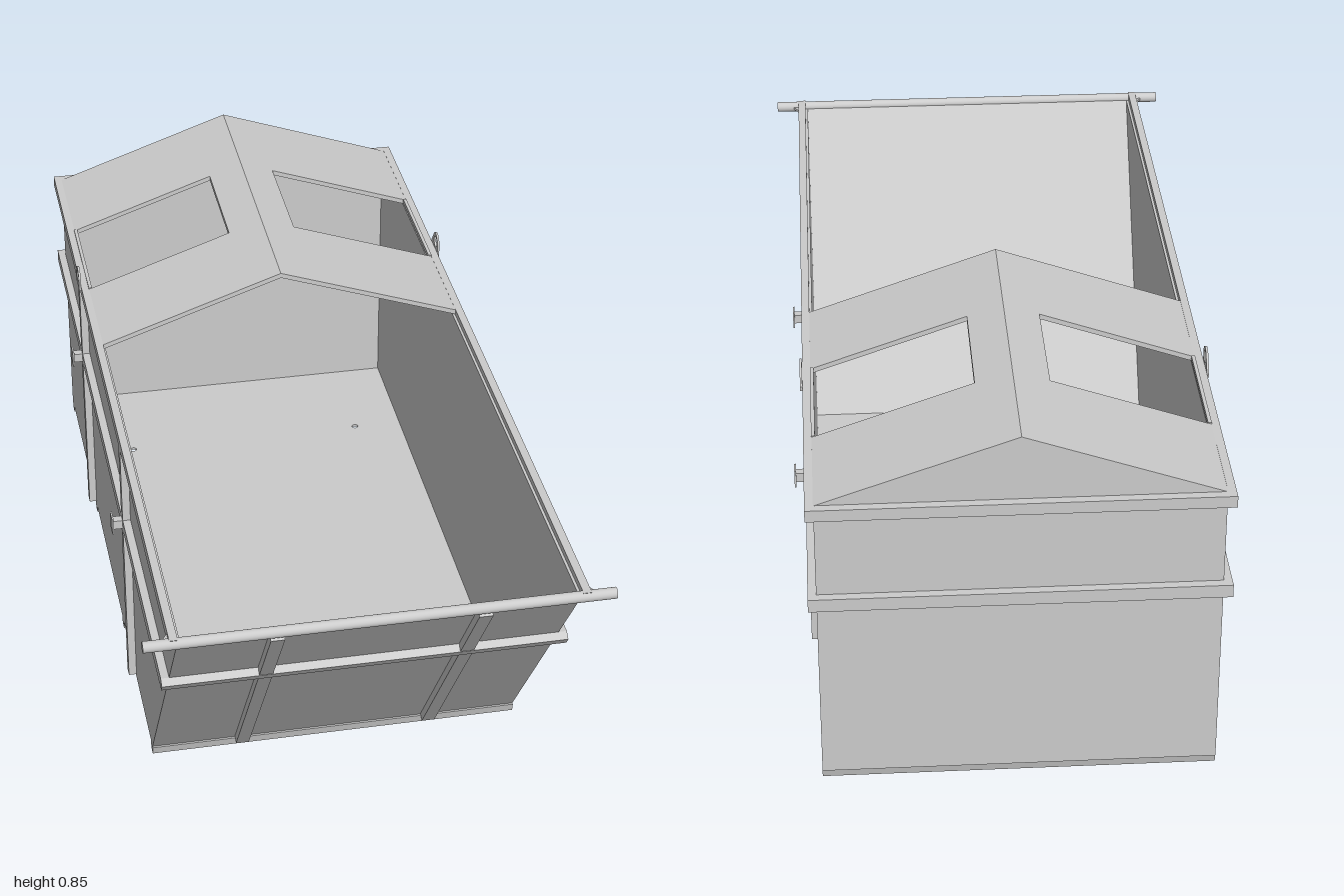
import * as THREE from 'three';

export function createModel() {
  const root = new THREE.Group();
  root.name = 'skipContainer';
  const material = new THREE.MeshStandardMaterial({ color: 0xcccccc, flatShading: true, side: THREE.DoubleSide });
  const smooth = new THREE.MeshStandardMaterial({ color: 0xcccccc });

  const add = (name, geometry, mat = material) => {
    const mesh = new THREE.Mesh(geometry, mat);
    mesh.name = name;
    root.add(mesh);
    return mesh;
  };
  // Box given by its minimum and maximum on each axis
  const box = (name, x0, x1, y0, y1, z0, z1) => {
    const g = new THREE.BoxGeometry(Math.abs(x1 - x0), y1 - y0, z1 - z0);
    return add(name, g.translate((x0 + x1) / 2, (y0 + y1) / 2, (z0 + z1) / 2));
  };
  const outline = pts => new THREE.Shape(pts.map(p => new THREE.Vector2(...p)));
  const extrude = (shape, depth) => new THREE.ExtrudeGeometry(shape, { depth, bevelEnabled: false, curveSegments: 20 });
  const hole = (x, y, r) => new THREE.Path().absarc(x, y, r, 0, Math.PI * 2, true);
  // Side profile of (z, y) points swept from x0 to x1
  const sideways = (name, shape, x0, x1) =>
    add(name, extrude(shape, x1 - x0).rotateY(-Math.PI / 2).translate(x1, 0, 0));
  // Front profile of (x, y) points swept from z0 to z1
  const lengthways = (name, pts, z0, z1) => add(name, extrude(outline(pts), z1 - z0).translate(0, 0, z0));

  const W = 0.427, T = 0.006, OUT = 0.445, BACK = -0.98;
  const slopeZ = y => 0.51 + (y - 0.02) * 0.712;
  const len = Math.hypot(1, 0.712);
  const ny = -0.712 / len, nz = 1 / len; // outward direction of the sloped front

  // Floor plate with drain holes
  const floor = outline([[-W, -0.51], [W, -0.51], [W, -BACK], [-W, -BACK]]);
  for (const x of [-0.3, 0.3]) for (const z of [0.275, -0.7]) floor.holes.push(hole(x, -z, 0.008));
  add('floor', extrude(floor, T).rotateX(-Math.PI / 2).translate(0, 0.02, 0));

  // Walls
  box('backWall', -W, W, 0.02, 0.69, BACK, BACK + T);
  sideways('frontWall', outline([
    [slopeZ(0.02), 0.02], [slopeZ(0.685), 0.685], [slopeZ(0.685) - 0.008, 0.685], [slopeZ(0.02) - 0.008, 0.02],
  ]), -W, W);

  // Strip lying on the sloped front, between two heights
  const frontStrip = (name, x0, x1, y0, y1, d) => sideways(name, outline([
    [slopeZ(y0), y0], [slopeZ(y0) + nz * d, y0 + ny * d],
    [slopeZ(y1) + nz * d, y1 + ny * d], [slopeZ(y1), y1],
  ]), x0, x1);
  frontStrip('frontRail', -OUT, OUT, 0.46, 0.48, 0.019);

  for (const s of [-1, 1]) {
    const span = (a, b) => (s > 0 ? [a, b] : [-b, -a]);
    const wall = outline([[BACK, 0.02], [slopeZ(0.02), 0.02], [slopeZ(0.685), 0.685], [BACK, 0.685]]);
    sideways('sideWall', wall, ...span(W - T, W));

    // Side rails with their front ends cut along the slope
    for (const [name, y0, y1] of [['topSideRail', 0.673, 0.7], ['middleSideRail', 0.45, 0.48]]) {
      const rail = outline([[-1, y0], [slopeZ(y0), y0], [slopeZ(y1), y1], [-1, y1]]);
      sideways(name, rail, ...span(W, OUT));
    }

    // Vertical posts and the stub pins where they cross the middle rail
    for (const z of [0.238, -0.49]) {
      box('sidePost', ...span(W, OUT), 0.03, 0.675, z - 0.013, z + 0.013);
      box('pinStub', ...span(OUT - 0.005, 0.466), 0.456, 0.478, z - 0.01, z + 0.01);
      box('pinPlate', ...span(0.466, 0.47), 0.446, 0.488, z - 0.016, z + 0.016);
    }

    // Front posts
    const x = s * 0.22;
    frontStrip('frontPost', x - 0.015, x + 0.015, 0.025, 0.46, 0.018);
    frontStrip('frontPost', x - 0.015, x + 0.015, 0.48, 0.68, 0.018);

    // Lifting eye
    const eye = new THREE.Shape();
    eye.moveTo(-0.498, 0.69);
    eye.lineTo(-0.432, 0.69);
    eye.absarc(-0.455, 0.72, 0.023, 0, Math.PI * 0.85, false);
    eye.lineTo(-0.498, 0.7);
    eye.holes.push(hole(-0.455, 0.72, 0.014));
    sideways('liftingEye', eye, ...span(OUT, 0.45));

    // Small gusset beside the front tube
    const gusset = outline([[s * W, -0.985], [s * 0.463, -0.985], [s * OUT, -0.955], [s * W, -0.955]]);
    add('gusset', extrude(gusset, 0.006).rotateX(-Math.PI / 2).translate(0, 0.684, 0));

    // Eave strip below each roof opening
    box('eaveStrip', ...span(0.42, 0.428), 0.692, 0.703, -0.71, -0.42);
  }

  // Rails across the back
  box('backTopRail', -OUT, OUT, 0.673, 0.7, -1, BACK);
  box('backMiddleRail', -OUT, OUT, 0.45, 0.48, -1, BACK);

  // Front rim tube
  add('frontTube', new THREE.CylinderGeometry(0.0125, 0.0125, 1, 24)
    .rotateZ(Math.PI / 2).translate(0, 0.687, 0.9875), smooth);

  // Cross bars under the floor
  for (const z of [0.5, 0.018, -0.483, -0.962]) {
    sideways('footBar', outline([[z - 0.016, 0.021], [z - 0.011, 0], [z + 0.011, 0], [z + 0.016, 0.021]]), -W, W);
  }

  // Gabled roof, with an opening on each slope
  const roofY = x => 0.848 - 0.348 * x;
  const roofProfile = x => [
    [-x, roofY(x)], [0, roofY(0)], [x, roofY(x)],
    [x, roofY(x) - 0.012], [0, roofY(0) - 0.012], [-x, roofY(x) - 0.012],
  ];
  lengthways('frontRoof', roofProfile(0.428), -0.42, -0.16);
  lengthways('ridgeStrip', roofProfile(0.08), -0.71, -0.42);
  lengthways('backRoof', roofProfile(0.428), BACK, -0.71);
  lengthways('backGable', [[-W, 0.69], [W, 0.69], [W, roofY(W) - 0.002], [0, 0.84], [-W, roofY(W) - 0.002]], BACK, BACK + T);

  return root;
}
